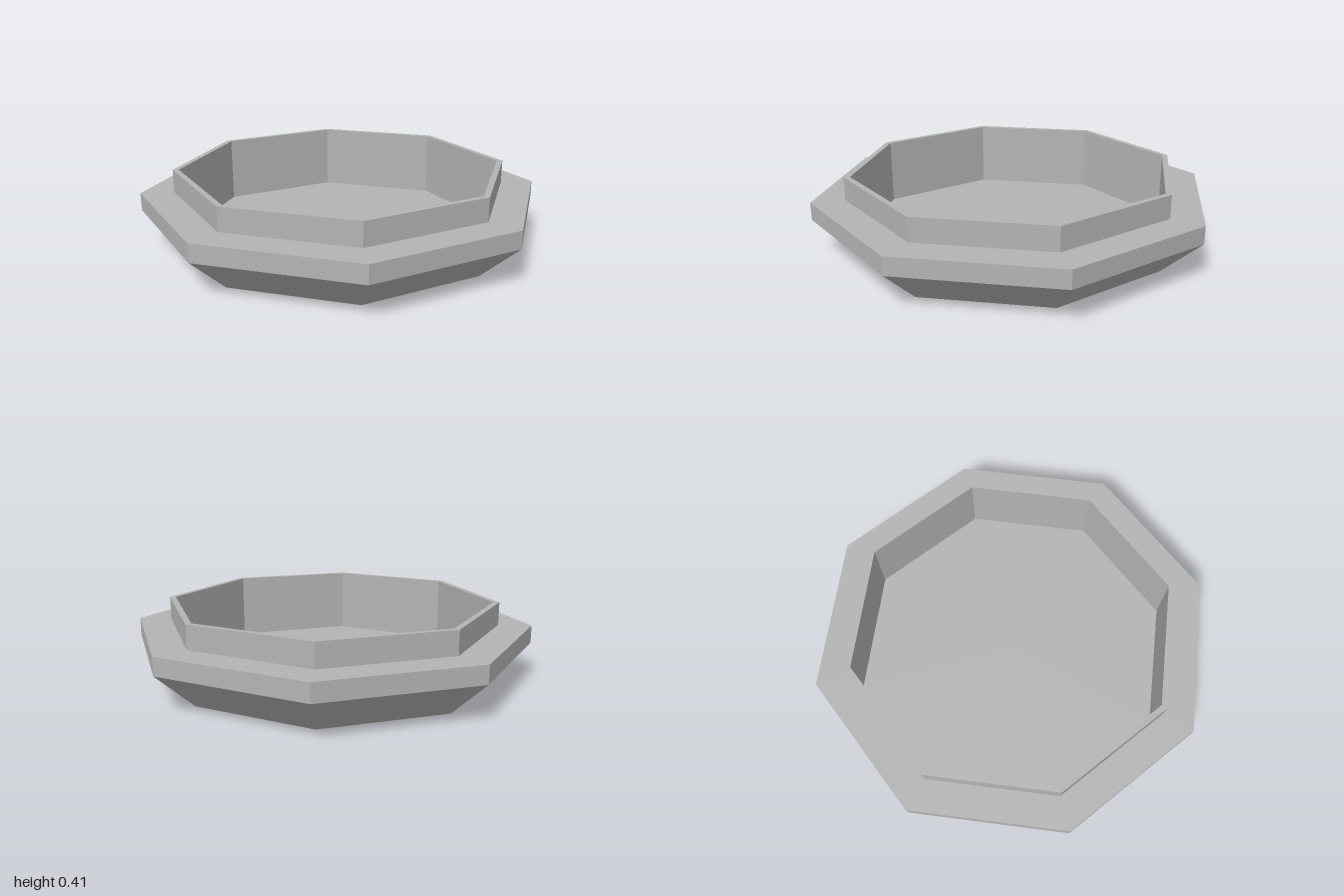
import * as THREE from 'three';

const DEPTH = 0.02; // depth of the carving in the underside
const CORNER = 1 / Math.cos(Math.PI / 8); // apothem to corner radius

// closed path of [x, y] points, turned by an angle
function polygon(points, angle = 0, Type = THREE.Path) {
  const c = Math.cos(angle), s = Math.sin(angle);
  return new Type(points.map(([x, y]) => new THREE.Vector2(x * c - y * s, x * s + y * c)));
}

function circle(r, x = 0, y = 0, Type = THREE.Path) {
  const p = new Type();
  p.absarc(x, y, r, 0, Math.PI * 2, false);
  return p;
}

function octagon(apothem, turn) {
  const pts = [];
  for (let i = 0; i < 8; i++) {
    const a = Math.PI / 8 + i * Math.PI / 4 + turn;
    pts.push([apothem * CORNER * Math.cos(a), apothem * CORNER * Math.sin(a)]);
  }
  return polygon(pts, 0, THREE.Shape);
}

// wavy sun ray running outwards along x
function wavyRay() {
  const upper = [], lower = [];
  for (let i = 0; i <= 10; i++) {
    const t = i / 10, x = 0.3 + 0.17 * t;
    const y = 0.022 * Math.sin(t * Math.PI * 2), w = 0.016 * (1 - t) + 0.003;
    lower.push([x, y - w]);
    upper.unshift([x, y + w]);
  }
  return [...lower, ...upper];
}

export function createModel() {
  const grey = new THREE.MeshStandardMaterial({ color: 0xb4b4b4 });
  grey.name = 'grey';
  const model = new THREE.Group();
  model.name = 'octagonalCase';
  const add = (parent, name, geometry) => {
    const mesh = new THREE.Mesh(geometry, grey);
    mesh.name = name;
    parent.add(mesh);
  };

  // bevelled body, flange, rim, inner wall and floor in one eight-sided turn
  const profile = [
    [0.805, 0], [1, 0.195], [1, 0.29], [0.835, 0.29],
    [0.835, 0.415], [0.805, 0.415], [0.805, 0.055], [0, 0.055],
  ].map(([r, y]) => new THREE.Vector2(r * CORNER, y));
  const body = new THREE.LatheGeometry(profile, 8, Math.PI / 8).toNonIndexed();
  body.computeVertexNormals();
  add(model, 'body', body);

  // underside: local z points down, local y towards the top of the dial
  const underside = new THREE.Group();
  underside.name = 'underside';
  const turn = THREE.MathUtils.degToRad(40);
  const c = Math.cos(turn), s = Math.sin(turn);
  underside.applyMatrix4(new THREE.Matrix4().makeBasis(
    new THREE.Vector3(-c, 0, -s),
    new THREE.Vector3(s, 0, -c),
    new THREE.Vector3(0, -1, 0),
  ));
  underside.position.y = DEPTH;
  model.add(underside);

  const relief = (name, shape) => add(underside, name,
    new THREE.ExtrudeGeometry(shape, { depth: DEPTH, bevelEnabled: false, curveSegments: 48 }));
  const edgeTurn = THREE.MathUtils.degToRad(5);
  add(underside, 'carvingFloor', new THREE.ShapeGeometry(octagon(0.805, edgeTurn)));

  // border with a small pit at each corner
  const border = octagon(0.805, edgeTurn);
  border.holes.push(circle(0.73));
  for (let i = 0; i < 8; i++) {
    const a = Math.PI / 8 + i * Math.PI / 4 + edgeTurn;
    const pit = [[0.775, 0], [0.8, -0.03], [0.825, 0], [0.8, 0.03]];
    border.holes.push(polygon(pit, a));
  }
  relief('border', border);

  // narrow ridges between the grooves
  const band = (outer, inner) => {
    const shape = circle(outer, 0, 0, THREE.Shape);
    shape.holes.push(circle(inner));
    return shape;
  };

  // hour band with twelve pairs of wedge marks
  const hours = band(0.7, 0.527);
  for (let i = 0; i < 12; i++) {
    const a = i * Math.PI / 6;
    for (const side of [-1, 1]) {
      const y = side * 0.036;
      const mark = [[0.565, y - 0.006], [0.665, y - 0.019], [0.665, y + 0.019], [0.565, y + 0.006]];
      hours.holes.push(polygon(mark, a));
    }
  }
  relief('hourBand', hours);

  // inner dial with alternating straight and wavy rays
  const dial = circle(0.5, 0, 0, THREE.Shape);
  for (let i = 0; i < 8; i++) {
    const straight = [[0.28, 0], [0.33, -0.035], [0.42, 0], [0.33, 0.035]];
    dial.holes.push(polygon(i % 2 ? wavyRay() : straight, i * Math.PI / 4));
  }

  // teardrop hollow in the middle
  const cx = -0.035, cy = -0.03, r = 0.17;
  const aim = THREE.MathUtils.degToRad(47), spread = THREE.MathUtils.degToRad(57);
  const drop = new THREE.Path();
  drop.absarc(cx, cy, r, aim + spread, aim - spread + Math.PI * 2, false);
  drop.lineTo(0.18, 0.2);
  drop.closePath();
  dial.holes.push(drop);
  relief('dial', dial);

  // raised crescent inside the teardrop
  const crescent = new THREE.Shape();
  crescent.absarc(cx, cy, 0.13, Math.PI * 0.55, Math.PI * 1.6, false);
  crescent.quadraticCurveTo(cx - 0.13, cy - 0.03, cx - 0.02, cy + 0.128);
  relief('crescent', crescent);

  return model;
}
